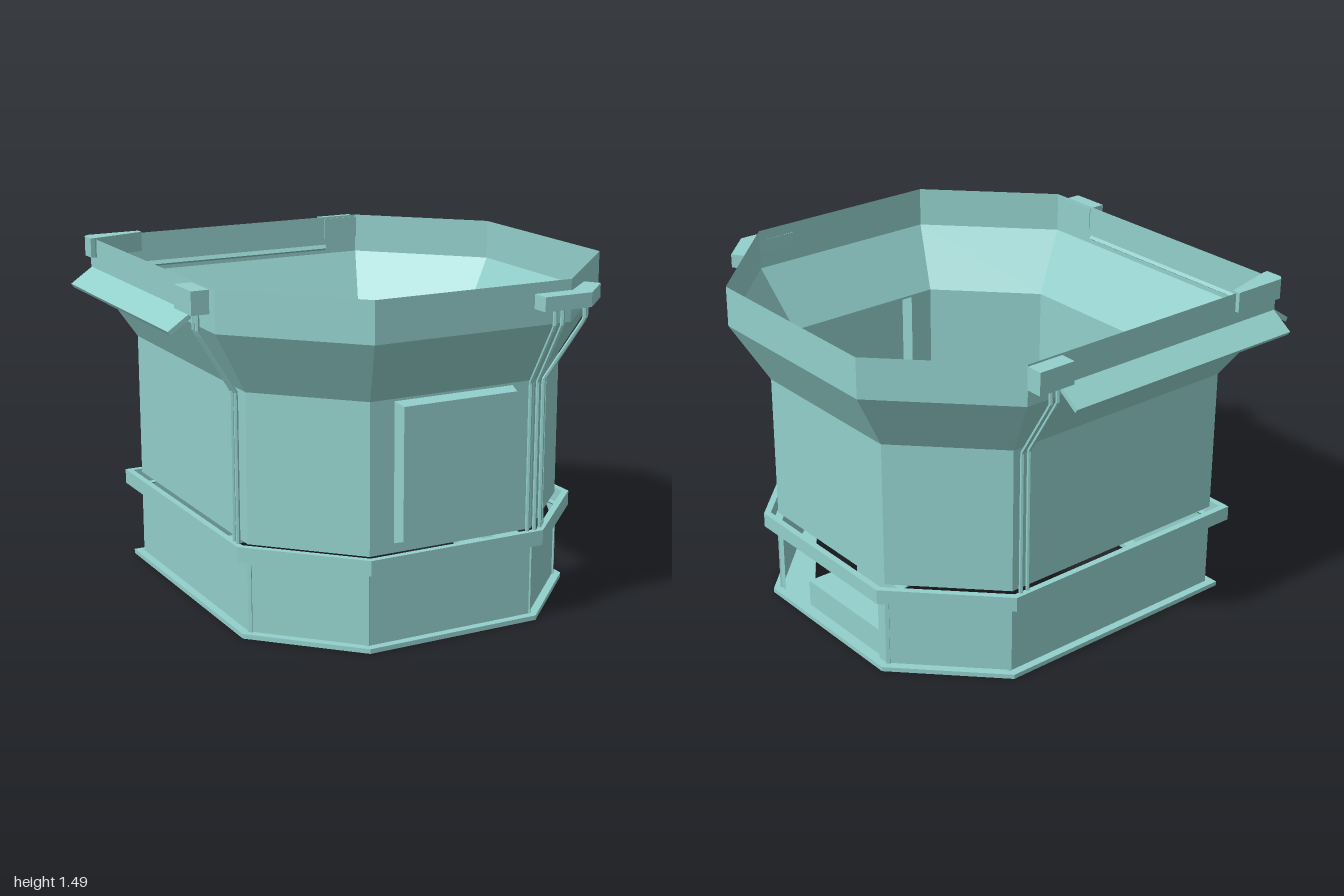
import * as THREE from 'three';

const teal = new THREE.MeshStandardMaterial({ color: 0x92cfcb, flatShading: true, side: THREE.DoubleSide });
teal.name = 'paleTeal';

// Plan of the walls, [x, z], seven-sided with one square corner
const PLAN = [[-0.7, -0.75], [0.43, -0.75], [0.8, -0.38], [0.8, 0.4], [0.43, 0.77], [-0.335, 0.77], [-0.7, 0.4]];
const FLOOR_HOLE = [[-0.64, -0.68], [0.4, -0.68], [0.65, -0.35], [0.65, 0.36], [0.4, 0.71], [-0.31, 0.71], [-0.64, 0.38]];
const RIGHT = 2, FRONT = 4;

// Outward mitred offset of the plan
function offset(d) {
  const n = PLAN.length;
  return PLAN.map((p, i) => {
    const normal = (a, b) => new THREE.Vector2(b[1] - a[1], a[0] - b[0]).normalize();
    const n1 = normal(PLAN[(i + n - 1) % n], p), n2 = normal(p, PLAN[(i + 1) % n]);
    const m = n1.clone().add(n2).multiplyScalar(d / (1 + n1.dot(n2)));
    return [p[0] + m.x, p[1] + m.y];
  });
}

const atHeight = (loop, y) => loop.map(([x, z]) => [x, y, z]);

// Faceted strip between two closed loops of 3D points
function strip(lower, upper, skip = -1) {
  const pos = [], n = lower.length;
  for (let i = 0; i < n; i++) {
    if (i === skip) continue;
    const j = (i + 1) % n;
    pos.push(...lower[i], ...upper[i], ...lower[j], ...lower[j], ...upper[i], ...upper[j]);
  }
  const g = new THREE.BufferGeometry();
  g.setAttribute('position', new THREE.Float32BufferAttribute(pos, 3));
  g.computeVertexNormals();
  return g;
}

const outline = (pts) => pts.map(([x, y]) => new THREE.Vector2(x, y));

// Upright prism over an [x, z] outline, with an optional hole
function prism(loop, y0, y1, hole) {
  const flip = (l) => outline(l.map(([x, z]) => [x, -z]));
  const shape = new THREE.Shape(flip(loop));
  if (hole) shape.holes.push(new THREE.Path(flip(hole)));
  return new THREE.ExtrudeGeometry(shape, { depth: y1 - y0, bevelEnabled: false })
    .rotateX(-Math.PI / 2).translate(0, y0, 0);
}

// Flat plate with a hole
function plate(border, hole) {
  const shape = new THREE.Shape(outline(border));
  shape.holes.push(new THREE.Path(outline(hole)));
  return new THREE.ShapeGeometry(shape);
}

const rect = (x0, y0, x1, y1) => [[x0, y0], [x1, y0], [x1, y1], [x0, y1]];

export function createModel() {
  const model = new THREE.Group();
  model.name = 'booth';
  const add = (name, geometry) => {
    const mesh = new THREE.Mesh(geometry, teal);
    mesh.name = name;
    model.add(mesh);
    return mesh;
  };
  const box = (name, x0, x1, y0, y1, z0, z1) => add(name, new THREE.BoxGeometry(x1 - x0, y1 - y0, z1 - z0)
    .translate((x0 + x1) / 2, (y0 + y1) / 2, (z0 + z1) / 2));

  // Floor flange, base walls and the ledge around them
  add('floorFlange', prism(offset(0.035), 0, 0.02, FLOOR_HOLE));
  add('baseWalls', strip(atHeight(PLAN, 0.02), atHeight(PLAN, 0.34), RIGHT));
  add('ledge', prism(offset(0.058), 0.34, 0.405, offset(0.03)));
  add('ledgeUnderside', strip(atHeight(offset(0.04), 0.342), atHeight(PLAN, 0.342)));

  // Upper walls, flare and rim
  const rim = offset(0.153);
  add('walls', strip(atHeight(PLAN, 0.4), atHeight(PLAN, 1.04), FRONT));
  add('flare', strip(atHeight(PLAN, 1.04), atHeight(rim, 1.305)));
  add('rim', strip(atHeight(rim, 1.305), atHeight(rim, 1.48)));

  // Front wall with its opening, and the hollow cover over it
  const opening = rect(-0.225, 0.44, 0.325, 1.03);
  add('frontWall', plate(rect(-0.335, 0.4, 0.43, 1.04), opening).translate(0, 0, 0.77));
  const cover = rect(-0.212, 0.46, 0.312, 1.018);
  add('coverSides', strip(opening.map((p) => [...p, 0.77]).reverse(), cover.map((p) => [...p, 0.825]).reverse()));
  add('coverFace', new THREE.ShapeGeometry(new THREE.Shape(outline(cover))).translate(0, 0, 0.825));

  // Trim over the diagonal base panels, with slim posts at their ends
  for (const [i, j] of [[1, 2], [3, 4], [5, 6]]) {
    const a = PLAN[i], b = PLAN[j];
    const dx = b[0] - a[0], dz = b[1] - a[1], length = Math.hypot(dx, dz);
    const panel = new THREE.Group();
    panel.name = 'diagonalBaseTrim';
    panel.position.set((a[0] + b[0]) / 2, 0, (a[1] + b[1]) / 2);
    panel.rotation.y = Math.atan2(-dz, dx);
    const bar = (w, h, x, y) => {
      const m = new THREE.Mesh(new THREE.BoxGeometry(w, h, 0.014), teal);
      m.name = 'trimBar';
      m.position.set(x, y, 0);
      panel.add(m);
    };
    bar(length, 0.03, 0, 0.325);
    for (const s of [-1, 1]) bar(0.016, 0.3, s * (length / 2 - 0.008), 0.17);
    model.add(panel);
  }

  // Serving recess on the right side
  const recess = [[-0.37, 0.02], [0.33, 0.02], [0.33, 0.29], [0.3, 0.325], [-0.34, 0.325], [-0.37, 0.29]];
  add('recessFrame', plate(rect(-0.4, 0.015, 0.38, 0.34), recess).rotateY(Math.PI / 2).translate(0.8, 0, 0));
  box('shelfFront', 0.775, 0.785, 0.02, 0.14, -0.33, 0.2);
  box('shelfTop', 0.65, 0.785, 0.13, 0.14, -0.33, 0.2);
  box('recessEnd', 0.65, 0.79, 0.02, 0.3, -0.345, -0.335);
  box('smallScreen', 0.62, 0.645, 0.145, 0.25, -0.24, 0.035);
  box('screenRail', 0.615, 0.65, 0.255, 0.27, -0.28, 0.2);
  box('railClip', 0.595, 0.615, 0.25, 0.275, 0.13, 0.2);
  box('recessHeader', 0.62, 0.65, 0.305, 0.33, -0.33, 0.36);

  // Sloping slats under the rim, on the back and left-hand walls
  const slat = (name, length, x, z, turn) => {
    const m = add(name, new THREE.BoxGeometry(length, 0.02, 0.122).rotateX(0.6));
    m.position.set(x, 1.305, z);
    m.rotation.y = turn;
  };
  slat('backSlat', 1.18, -0.26, -0.945, Math.PI);
  slat('sideSlat', 1.12, -0.9, -0.33, -Math.PI / 2);

  // Brackets on the rim
  add('frontBracket', prism([[0.32, 0.92], [0.32, 1], [0.54, 1], [0.68, 0.86], [0.64, 0.8], [0.5, 0.923]], 1.375, 1.435));
  box('sideBracket', -0.93, -0.85, 1.375, 1.472, 0.24, 0.41);
  box('backBracket', 0.325, 0.495, 1.375, 1.472, -0.975, -0.9);
  add('cornerBracket', prism(
    [[-0.88, -0.9], [-0.86, -0.922], [-0.615, -0.922], [-0.615, -0.885], [-0.86, -0.825], [-0.88, -0.825]], 1.4, 1.487));

  // Pipes that follow the wall and the flare; n is the outward normal
  const pipe = (x, z, nx, nz) => {
    const path = new THREE.CurvePath();
    const pts = [[0.035, 0.4], [0.035, 1.04], [0.195, 1.305], [0.195, 1.385]]
      .map(([d, y]) => new THREE.Vector3(x + nx * d, y, z + nz * d));
    for (let i = 0; i < 3; i++) path.add(new THREE.LineCurve3(pts[i], pts[i + 1]));
    add('pipe', new THREE.TubeGeometry(path, 40, 0.009, 6));
  };
  const k = Math.SQRT1_2;
  for (const s of [0.015, 0.05]) {
    pipe(0.43 - s + 0.01, 0.77, 0, 1);
    pipe(0.43 + s * k, 0.77 - s * k, k, k);
    pipe(0.43 - s, -0.75, 0, -1);
    pipe(-0.7, 0.4 - s, -1, 0);
  }
  return model;
}
